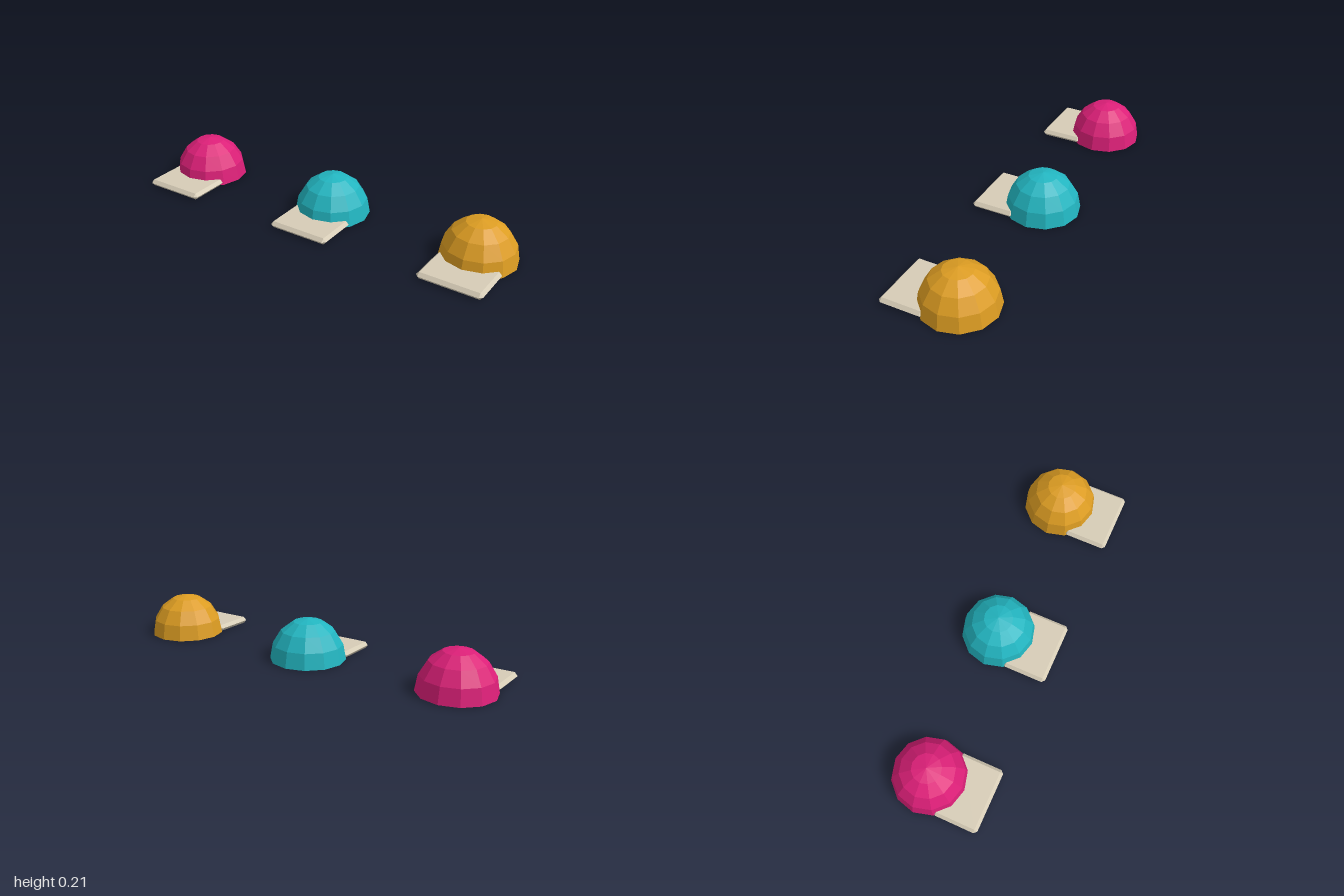
import * as THREE from 'three';
import { mergeVertices } from 'three/addons/utils/BufferGeometryUtils.js';
import { ConvexGeometry } from 'three/addons/geometries/ConvexGeometry.js';

const material = (name, color) => {
  const m = new THREE.MeshStandardMaterial({ color, flatShading: true });
  m.name = name;
  return m;
};

// Faceted half dome with a closed underside
function domeGeometry(radius, height) {
  const profile = [new THREE.Vector2(0, 0.001)];
  for (let i = 0; i <= 4; i++) {
    const a = (i / 4) * Math.PI / 2;
    profile.push(new THREE.Vector2(i === 4 ? 0 : radius * Math.cos(a), Math.max(0.001, height * Math.sin(a))));
  }
  return mergeVertices(new THREE.LatheGeometry(profile, 12));
}

// Thin slab with pointed edges and clipped corners
function brimGeometry(halfX, halfZ, height, bevel) {
  const points = [];
  for (const sx of [-1, 1]) {
    for (const sz of [-1, 1]) {
      for (const y of [0, height]) {
        points.push(new THREE.Vector3(sx * (halfX - bevel), y, sz * (halfZ - bevel)));
      }
      points.push(new THREE.Vector3(sx * halfX, height / 2, sz * (halfZ - bevel)));
      points.push(new THREE.Vector3(sx * (halfX - bevel), height / 2, sz * halfZ));
    }
  }
  return new ConvexGeometry(points);
}

export function createModel() {
  const model = new THREE.Group();
  model.name = 'caps';

  const brimMaterial = material('cream', 0xd6ccb6);
  const crownGeo = domeGeometry(0.19, 0.21);
  const brimGeo = brimGeometry(0.163, 0.115, 0.034, 0.015);

  const caps = [
    ['pinkCap', -0.81, material('pink', 0xdc1f78)],
    ['tealCap', 0, material('teal', 0x22b5c0)],
    ['goldCap', 0.81, material('gold', 0xdc9c22)],
  ];
  for (const [name, x, crownMaterial] of caps) {
    const cap = new THREE.Group();
    cap.name = name;
    cap.position.x = x;

    const crown = new THREE.Mesh(crownGeo, crownMaterial);
    crown.name = 'crown';
    crown.position.z = -0.065;

    const brim = new THREE.Mesh(brimGeo, brimMaterial);
    brim.name = 'brim';
    brim.position.z = 0.14;

    cap.add(crown, brim);
    model.add(cap);
  }
  return model;
}
